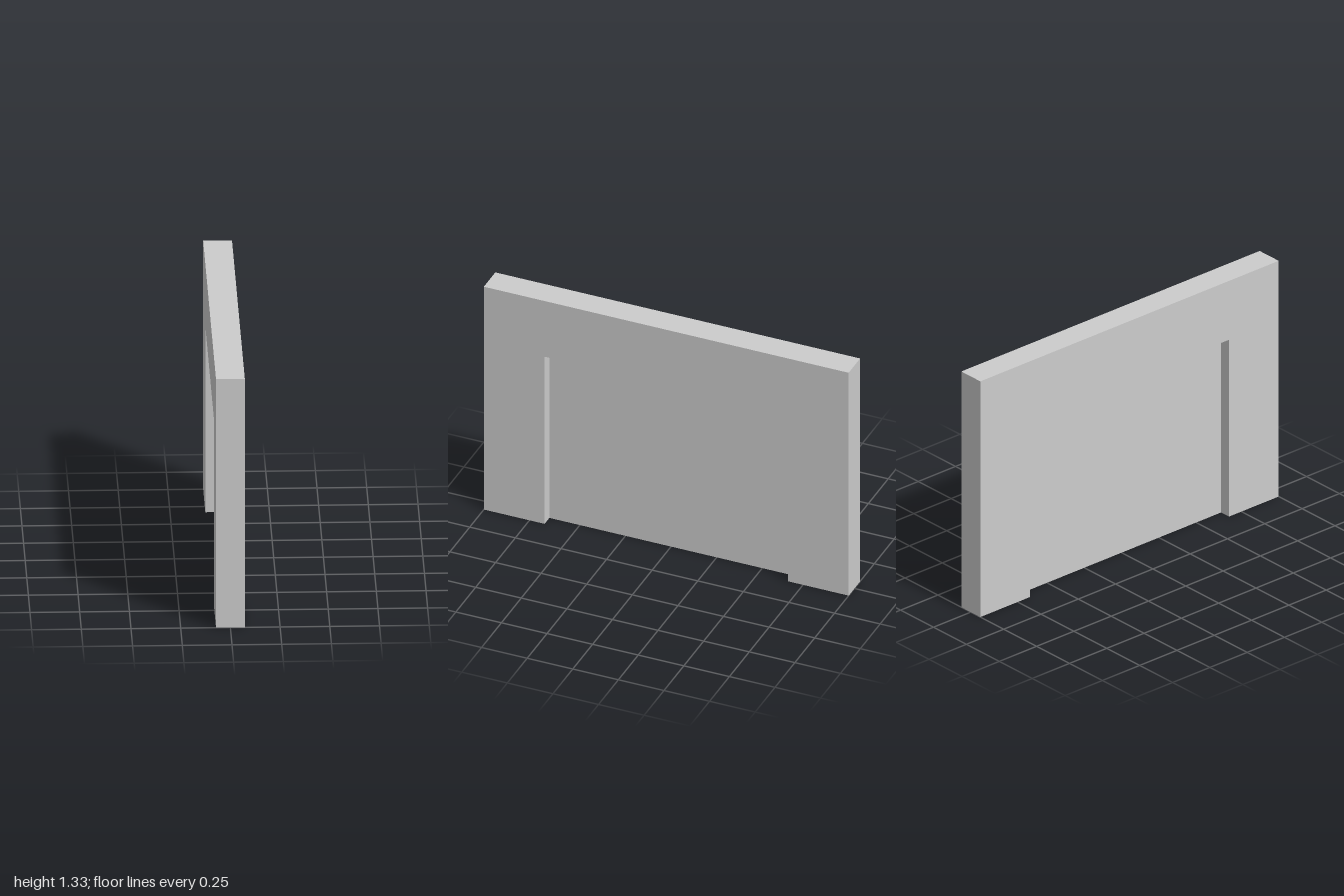
import * as THREE from 'three';

const THICK = 0.145, HEIGHT = 1.333, HALF = 1;
const OPEN_HALF = 0.667, OPEN_TOP = 1.0, PANEL_THICK = 0.024;

// Drop the triangles lying on the ground, leaving a hollow shell open below
function openBottom(geometry) {
  const src = geometry.getAttribute('position');
  const kept = [];
  for (let i = 0; i < src.count; i += 3) {
    const corners = [i, i + 1, i + 2];
    if (corners.every(k => Math.abs(src.getY(k)) < 1e-5)) continue;
    for (const k of corners) kept.push(src.getX(k), src.getY(k), src.getZ(k));
  }
  const out = new THREE.BufferGeometry();
  out.setAttribute('position', new THREE.Float32BufferAttribute(kept, 3));
  out.computeVertexNormals();
  return out;
}

export function createModel() {
  const group = new THREE.Group();
  group.name = 'wallWithDoor';

  // Wall: two jambs and a lintel, extruded through its thickness along x
  const outline = new THREE.Shape([
    [-HALF, 0], [-OPEN_HALF, 0], [-OPEN_HALF, OPEN_TOP], [OPEN_HALF, OPEN_TOP],
    [OPEN_HALF, 0], [HALF, 0], [HALF, HEIGHT], [-HALF, HEIGHT],
  ].map(([x, y]) => new THREE.Vector2(x, y)));
  const wallGeometry = new THREE.ExtrudeGeometry(outline, { depth: THICK, bevelEnabled: false });
  wallGeometry.translate(0, 0, -THICK / 2).rotateY(Math.PI / 2);
  const wall = new THREE.Mesh(
    openBottom(wallGeometry),
    new THREE.MeshStandardMaterial({ color: 0xcccccc, side: THREE.DoubleSide })
  );
  wall.name = 'wallFrame';
  group.add(wall);

  // Door panel: thin slab recessed equally from both faces
  const panel = new THREE.Mesh(
    new THREE.BoxGeometry(PANEL_THICK, OPEN_TOP, OPEN_HALF * 2),
    new THREE.MeshStandardMaterial({ color: 0xcccccc })
  );
  panel.name = 'doorPanel';
  panel.position.y = OPEN_TOP / 2;
  group.add(panel);

  return group;
}
